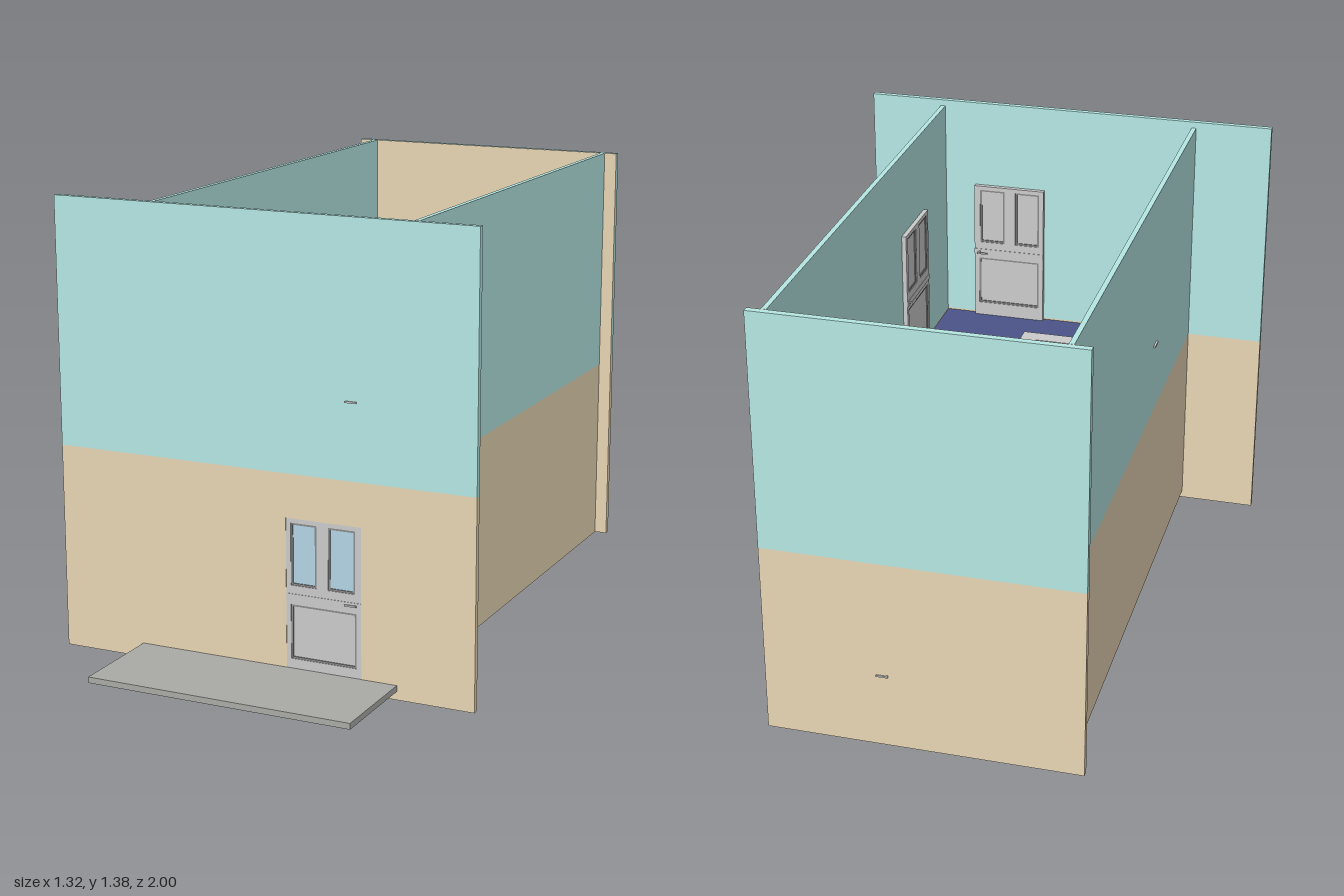
import * as THREE from 'three';

const TEAL = 0xb6e8e4, TAN = 0xe8d6b5, GREY = 0xcccccc, BLUE = 0x4a5488, BROWN = 0x502a20;
const GLASS = 0xb4d4e6, DARK = 0x8a8a8a, STONE = 0xaaaaa6, BLACK = 0x111111;
const SPLIT = 0.635, UP = 0.63, DOWN = 0.042;

const materials = {};
const mat = (color) => (materials[color] ??= new THREE.MeshStandardMaterial({ color }));

function add(parent, name, geometry, color) {
  const mesh = new THREE.Mesh(geometry, mat(color));
  mesh.name = name;
  parent.add(mesh);
  return mesh;
}

// Box given by its limits on each axis
function box(parent, name, color, x0, x1, y0, y1, z0, z1) {
  const mesh = add(parent, name, new THREE.BoxGeometry(x1 - x0, y1 - y0, z1 - z0), color);
  mesh.position.set((x0 + x1) / 2, (y0 + y1) / 2, (z0 + z1) / 2);
  return mesh;
}

// Wall painted in two colours
function wall(parent, name, x0, x1, y0, y1, z0, z1) {
  const g = new THREE.Group();
  g.name = name;
  box(g, 'lowerWall', TAN, x0, x1, y0, SPLIT, z0, z1);
  box(g, 'upperWall', TEAL, x0, x1, SPLIT, y1, z0, z1);
  parent.add(g);
}

// Extruded outline with rectangular holes [x0, x1, y0, y1]
function panel(points, holes, depth) {
  const shape = new THREE.Shape(points.map(([x, y]) => new THREE.Vector2(x, y)));
  for (const [x0, x1, y0, y1] of holes) {
    shape.holes.push(new THREE.Path([[x0, y0], [x0, y1], [x1, y1], [x1, y0]].map(([x, y]) => new THREE.Vector2(x, y))));
  }
  return new THREE.ExtrudeGeometry(shape, { depth, bevelEnabled: false });
}
const rect = (x0, x1, y0, y1) => [[x0, y0], [x1, y0], [x1, y1], [x0, y1]];

// Door 0.235 wide and 0.463 tall, centred on z, with a lever on both sides
function door(parent, name, x, y, z, turn, paneColor, lever) {
  const g = new THREE.Group();
  g.name = name;
  const openings = [[-0.103, -0.022, 0.265, 0.45], [0.014, 0.098, 0.265, 0.45], [-0.103, 0.102, 0.045, 0.208]];
  const leaf = add(g, 'doorLeaf', panel(rect(-0.1175, 0.1175, 0, 0.463), openings, 0.018), GREY);
  leaf.position.z = -0.009;
  openings.forEach(([x0, x1, y0, y1], i) => {
    box(g, 'doorPanel', i < 2 ? paneColor : GREY, x0, x1, y0, y1, -0.004, 0.004);
    // Thin dark bead around each panel
    const bead = add(g, 'panelBead', panel(rect(x0, x1, y0, y1), [[x0 + 0.006, x1 - 0.006, y0 + 0.006, y1 - 0.006]], 0.014), DARK);
    bead.position.z = -0.007;
  });
  box(g, 'middleRail', GREY, -0.1175, 0.1175, 0.222, 0.24, -0.0105, 0.0105);
  for (const s of [-1, 1]) {
    const a = s * lever, b = s * (lever + 0.004);
    box(g, 'handle', GREY, 0.068, 0.104, 0.229, 0.234, Math.min(a, b), Math.max(a, b));
  }
  box(g, 'handleSpindle', GREY, 0.097, 0.102, 0.229, 0.234, -lever, lever);
  g.position.set(x, y, z);
  g.rotation.y = turn;
  parent.add(g);
}

// Framed panel hung on a side wall
function frame(parent, name, x, y, z, turn, width) {
  const g = new THREE.Group();
  g.name = name;
  const w = width / 2;
  add(g, 'frameBorder', panel(rect(-w, w, -0.065, 0.065), [[-w + 0.015, w - 0.015, -0.05, 0.05]], 0.01), GREY);
  box(g, 'framePane', DARK, -w + 0.015, w - 0.015, -0.05, 0.05, 0, 0.004);
  g.position.set(x, y, z);
  g.rotation.y = turn;
  parent.add(g);
}

export function createModel() {
  const model = new THREE.Group();
  model.name = 'twoStoreyHouse';

  // Front wall with the entrance cut out of its lower half
  const front = add(model, 'frontWallLower', panel([
    [-0.66, 0.015], [0.075, 0.015], [0.075, 0.505], [0.31, 0.505], [0.31, 0.015], [0.655, 0.015], [0.655, SPLIT], [-0.66, SPLIT],
  ], [], 0.018), TAN);
  front.position.z = 0.675;
  box(model, 'frontWallUpper', TEAL, -0.66, 0.655, SPLIT, 1.375, 0.675, 0.693);

  // Side and back walls
  wall(model, 'rightWall', -0.42, -0.405, 0.04, 1.355, -0.975, 0.675);
  wall(model, 'leftWall', 0.41, 0.425, 0.04, 1.355, -0.975, 0.675);
  wall(model, 'backWall', -0.47, 0.465, 0.04, 1.355, -0.996, -0.978);
  box(model, 'backWallLining', TAN, -0.47, 0.465, 0.04, 1.3545, -0.978, -0.975);

  // Ground floor and porch
  box(model, 'groundFloor', DARK, -0.405, 0.41, 0.032, 0.042, -0.975, 0.675);
  box(model, 'porch', STONE, -0.4, 0.42, 0.04, 0.058, 0.68, 1.0);

  // Upper floor around the stairwell
  const upper = add(model, 'upperFloor', panel([
    [-0.405, -0.675], [0.41, -0.675], [0.41, 0.975], [-0.055, 0.975], [-0.055, -0.1], [-0.405, -0.1],
  ], [], 0.02), BLUE);
  upper.rotation.x = -Math.PI / 2;
  upper.position.y = 0.61;

  // Solid staircase rising towards the back
  const stairs = new THREE.Group();
  stairs.name = 'staircase';
  model.add(stairs);
  box(stairs, 'landing', BROWN, -0.404, -0.055, 0.03, UP, -0.975, -0.72);
  const steps = 11, run = 0.82 / steps, rise = (UP - 0.04) / (steps + 1);
  for (let i = 0; i < steps; i++) {
    box(stairs, 'step', BROWN, -0.404, -0.065, 0.03, UP - rise * (i + 1), -0.72 + run * i, -0.72 + run * (i + 1));
  }

  // Stair rail with its bottom post
  box(stairs, 'bottomPost', GREY, -0.075, -0.04, 0, 0.27, 0.1, 0.13);
  box(stairs, 'baseRail', GREY, -0.065, -0.04, 0.027, 0.045, -0.73, 0.1);
  const slope = Math.atan2(0.55, 0.82);
  const rail = add(stairs, 'slopedRail', new THREE.BoxGeometry(0.025, 0.03, Math.hypot(0.55, 0.82)), DARK);
  rail.position.set(-0.053, 0.5, -0.31);
  rail.rotation.x = slope;

  // Parapet around the stairwell
  box(model, 'parapetSide', GREY, -0.04, 0.005, UP, 0.83, -0.775, 0.15);
  box(model, 'parapetFront', GREY, -0.404, -0.04, UP, 0.83, 0.1, 0.15);
  box(model, 'parapetEnd', GREY, -0.08, -0.04, UP, 0.83, -0.775, -0.72);

  // Doors on both storeys
  door(model, 'entranceDoor', 0.1925, DOWN, 0.683, 0, GLASS, 0.014);
  door(model, 'upperFrontDoor', 0.1925, UP, 0.669, 0, GREY, 0.026);
  door(model, 'lowerBackDoor', 0.2, DOWN, -0.97, Math.PI, GREY, 0.029);
  door(model, 'upperBackDoor', 0.2, UP, -0.97, Math.PI, GREY, 0.012);
  door(model, 'upperSideDoor', 0.405, UP, 0.3, Math.PI / 2, GREY, 0.021);
  box(model, 'sideHandle', GREY, -0.426, -0.42, 0.858, 0.864, 0.08, 0.12);

  // Framed panels on the side walls
  frame(model, 'rightFrameBack', -0.405, 0.815, -0.52, Math.PI / 2, 0.17);
  frame(model, 'rightFrameFront', -0.405, 0.815, -0.195, Math.PI / 2, 0.19);
  frame(model, 'leftFrame', 0.41, 0.815, -0.585, -Math.PI / 2, 0.15);

  // Cabinet against the left wall
  box(model, 'cabinet', GREY, 0.28, 0.41, UP, 0.82, -0.145, 0.03);
  box(model, 'cabinetKnob', BLACK, 0.272, 0.28, 0.73, 0.74, -0.062, -0.052);

  // Two round stools with coloured rims
  [[0.285, 0x4a2a6a], [0.39, 0x2a6a35]].forEach(([z, color]) => {
    const stool = new THREE.Group();
    stool.name = 'stool';
    add(stool, 'stoolBody', new THREE.CylinderGeometry(0.042, 0.036, 0.1, 24), GREY).position.y = 0.05;
    const rim = add(stool, 'stoolRim', new THREE.TorusGeometry(0.042, 0.008, 8, 24), color);
    rim.rotation.x = Math.PI / 2;
    rim.position.y = 0.098;
    stool.position.set(-0.328, UP, z);
    model.add(stool);
  });

  // Stacked boxes and a dark screen
  box(model, 'largeBox', GREY, -0.38, -0.28, UP, 0.71, 0.48, 0.625);
  box(model, 'middleBox', GREY, -0.39, -0.33, 0.71, 0.75, 0.52, 0.57);
  box(model, 'smallBox', GREY, -0.395, -0.335, UP, 0.77, 0.57, 0.635);
  box(model, 'screen', BLACK, -0.275, -0.205, UP, 0.7, 0.505, 0.57);

  return model;
}
